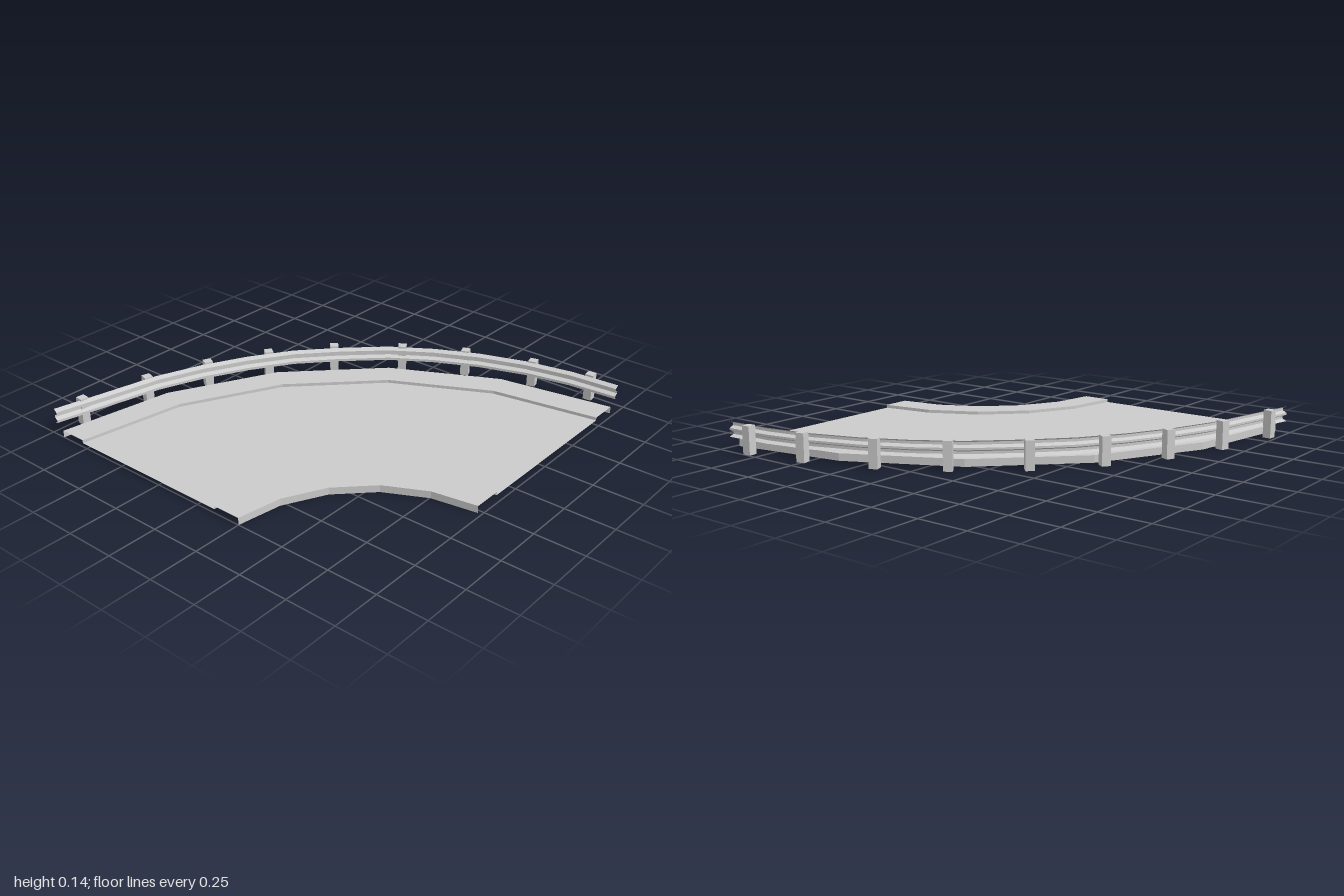
import * as THREE from 'three';
import { toCreasedNormals } from 'three/addons/utils/BufferGeometryUtils.js';

const material = new THREE.MeshStandardMaterial({ color: 0xcccccc, side: THREE.DoubleSide });

// Centre of the bend, seen from above
const CX = -1, CZ = 0.98;

// Skin a row of cross-sections (arrays of Vector3) into an open sheet
function sheet(name, sections, crease) {
  const positions = [];
  for (let i = 0; i < sections.length - 1; i++) {
    for (let j = 0; j < sections[i].length - 1; j++) {
      const a = sections[i][j], b = sections[i + 1][j];
      const c = sections[i + 1][j + 1], d = sections[i][j + 1];
      for (const p of [a, b, d, b, c, d]) positions.push(p.x, p.y, p.z);
    }
  }
  const geometry = new THREE.BufferGeometry();
  geometry.setAttribute('position', new THREE.Float32BufferAttribute(positions, 3));
  geometry.computeVertexNormals();
  const mesh = new THREE.Mesh(crease ? toCreasedNormals(geometry, crease) : geometry, material);
  mesh.name = name;
  return mesh;
}

// Sweep a (radius, height) profile through the quarter bend
function bend(name, profile, segments) {
  const sections = [];
  for (let i = 0; i <= segments; i++) {
    const t = (i / segments) * Math.PI / 2;
    sections.push(profile.map(([r, y]) =>
      new THREE.Vector3(CX + r * Math.sin(t), y, CZ - r * Math.cos(t))));
  }
  return sheet(name, sections);
}

export function createModel() {
  const group = new THREE.Group();

  // Road surface and raised kerbs, open underneath
  const ROAD = 0.02, KERB = 0.036, STEPS = 5;
  group.add(bend('roadSurface', [[0.875, ROAD], [1.757, ROAD]], STEPS));
  group.add(bend('innerKerb', [[0.73, 0], [0.73, KERB], [0.875, KERB], [0.875, ROAD]], STEPS));
  group.add(bend('outerKerb', [[1.757, ROAD], [1.757, KERB], [1.9, KERB], [1.9, 0]], STEPS));

  // Guard rail: double-ridged profile (outward offset, height) along a hand-set path
  const path = [
    [-1, -0.967], [-0.74, -0.91], [-0.45, -0.85], [-0.22, -0.765], [0, -0.655],
    [0.21, -0.52], [0.39, -0.355], [0.57, -0.165], [0.7, 0.035], [0.805, 0.25],
    [0.885, 0.49], [0.93, 0.73], [0.945, 0.98],
  ];
  const railProfile = [
    [0.012, 0.057], [-0.012, 0.067], [-0.012, 0.08], [0.01, 0.09],
    [0.01, 0.1], [-0.012, 0.11], [-0.012, 0.123], [0.012, 0.134],
  ];
  const railSections = path.map(([x, z], i) => {
    const p = path[Math.max(i - 1, 0)], n = path[Math.min(i + 1, path.length - 1)];
    const out = new THREE.Vector2(n[1] - p[1], p[0] - n[0]).normalize();
    return railProfile.map(([o, y]) => new THREE.Vector3(x + out.x * o, y, z + out.y * o));
  });
  group.add(sheet('guardRail', railSections, 0.4));

  // Square posts behind the rail
  const posts = [
    [-0.84, -0.96], [-0.483, -0.89], [-0.165, -0.78], [0.125, -0.62], [0.4, -0.4],
    [0.63, -0.12], [0.8, 0.17], [0.92, 0.51], [0.975, 0.815],
  ];
  const postGeometry = new THREE.BoxGeometry(0.043, 0.14, 0.043);
  for (const [x, z] of posts) {
    const post = new THREE.Mesh(postGeometry, material);
    post.name = 'railPost';
    post.position.set(x, 0.07, z);
    post.rotation.y = -Math.atan2(x - CX, CZ - z);
    group.add(post);
  }
  return group;
}
